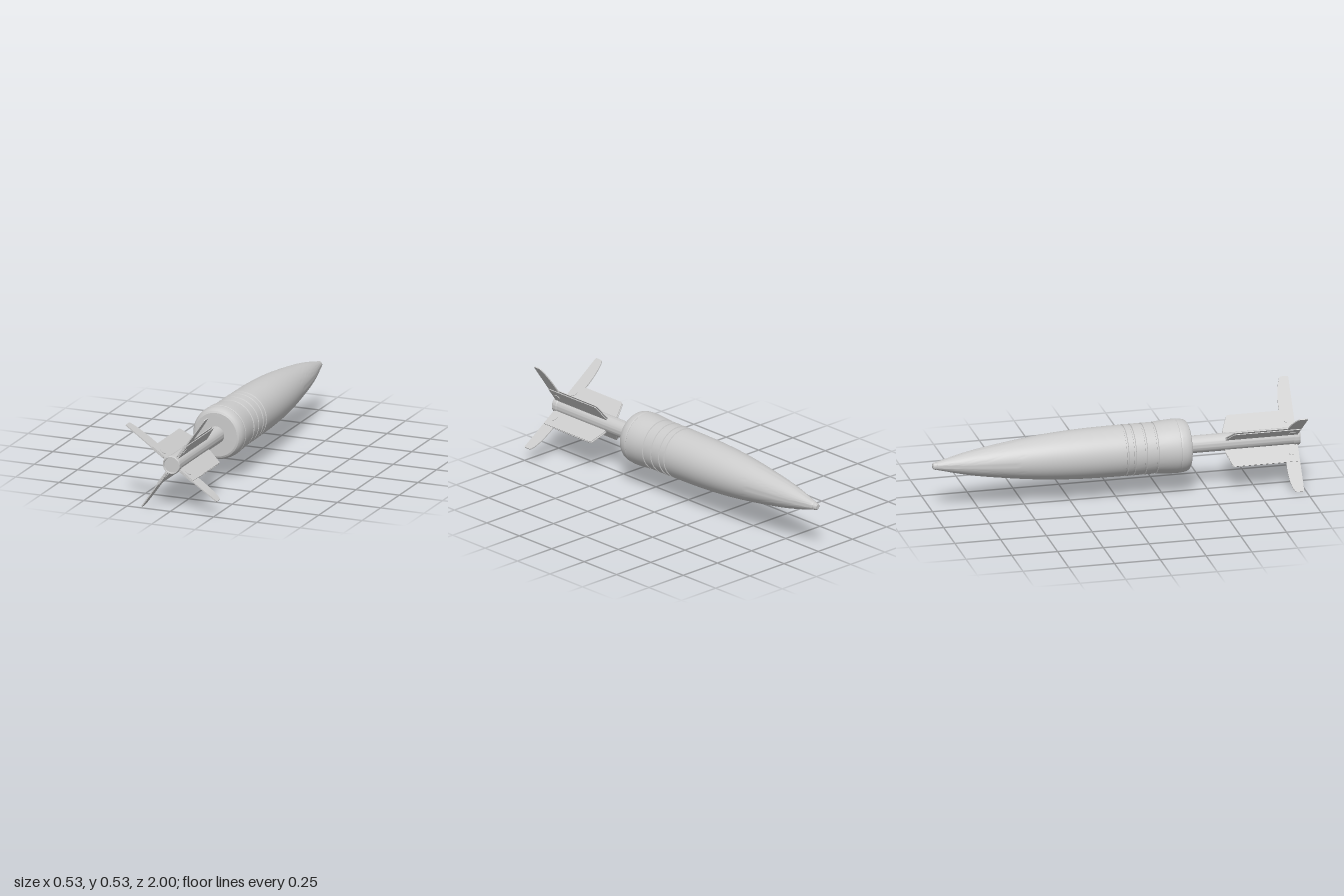
import * as THREE from 'three';
import { toCreasedNormals } from 'three/addons/utils/BufferGeometryUtils.js';

const material = new THREE.MeshStandardMaterial({ color: 0xcccccc });

function addMesh(parent, name, geometry) {
  const mesh = new THREE.Mesh(geometry, material);
  mesh.name = name;
  parent.add(mesh);
  return mesh;
}

// Turned part along z from [radius, z] points, ordered from nose to tail
function turned(points, segments = 64) {
  const profile = points.map(([r, z]) => new THREE.Vector2(r, z));
  return toCreasedNormals(new THREE.LatheGeometry(profile, segments).rotateX(Math.PI / 2), 0.4);
}

// Flat plate drawn in (radius, z), with its thickness centred on the given offset
function plate(shape, thickness, offset = 0) {
  const g = new THREE.ExtrudeGeometry(shape, { depth: thickness, bevelEnabled: false, curveSegments: 12 });
  return g.translate(0, 0, offset - thickness / 2).rotateX(Math.PI / 2);
}

function shellProfile() {
  // Smooth ogive from the nose cap to the cylindrical middle
  const ogive = new THREE.SplineCurve([
    [0.022, -0.975], [0.064, -0.8], [0.096, -0.6], [0.12, -0.4], [0.133, -0.2], [0.137, 0]
  ].map(([r, z]) => new THREE.Vector2(r, z)));
  const points = [[0, -1], [0.011, -1], [0.017, -0.995], [0.02, -0.985], [0.02, -0.978]];
  ogive.getPoints(32).forEach(p => points.push([p.x, p.y]));
  // Shallow grooves around the middle
  for (const z of [0.037, 0.078, 0.139, 0.202]) {
    points.push([0.137, z - 0.006], [0.133, z - 0.004], [0.133, z + 0.004], [0.138, z + 0.006]);
  }
  // Flared base with a rounded rear edge
  points.push([0.142, 0.26], [0.145, 0.31], [0.145, 0.328], [0.143, 0.331], [0.143, 0.336],
    [0.144, 0.339], [0.142, 0.36], [0.138, 0.376], [0.13, 0.388], [0.12, 0.393], [0, 0.395]);
  return points;
}

function fixedPlateShape() {
  const s = new THREE.Shape();
  s.moveTo(0.035, 0.59);
  s.lineTo(0.06, 0.592);
  s.lineTo(0.135, 0.622);
  s.quadraticCurveTo(0.142, 0.626, 0.142, 0.636);
  s.lineTo(0.142, 0.985);
  s.lineTo(0.035, 0.985);
  s.closePath();
  return s;
}

function bladeShape(reach) {
  const s = new THREE.Shape();
  s.moveTo(0.06, 0.915);
  s.lineTo(0.17, 0.912);
  s.bezierCurveTo(0.23, 0.914, 0.28, 0.922, reach - 0.012, 0.936);
  s.quadraticCurveTo(reach, 0.941, reach, 0.952);
  s.lineTo(reach, 0.982);
  s.quadraticCurveTo(reach, 0.988, reach - 0.008, 0.988);
  s.lineTo(0.06, 0.988);
  s.closePath();
  return s;
}

// One fin: a pair of fixed plates holding a long blade on a pivot pin
function makeFin(reach) {
  const fin = new THREE.Group();
  fin.name = 'fin';
  for (const side of [-1, 1]) {
    addMesh(fin, 'fixedPlate', plate(fixedPlateShape(), 0.004, side * 0.005));
  }
  addMesh(fin, 'blade', plate(bladeShape(reach), 0.006));
  addMesh(fin, 'pivotPin', new THREE.CylinderGeometry(0.018, 0.018, 0.02, 24)).position.set(0.088, 0, 0.948);
  return fin;
}

export function createModel() {
  const model = new THREE.Group();
  model.name = 'finnedProjectile';
  const axis = new THREE.Group();
  axis.name = 'axis';
  axis.position.set(0.004, 0.257, 0);
  model.add(axis);

  addMesh(axis, 'shell', turned(shellProfile()));

  // Tail tube with a shallow recess in its end
  addMesh(axis, 'tailTube', turned([
    [0.047, 0.38], [0.047, 0.6], [0.047, 0.965], [0.05, 0.97], [0.05, 0.994],
    [0.047, 1], [0.043, 1], [0.041, 0.992], [0, 0.992]
  ], 48));

  // Four fins, each given by its angle in degrees and blade reach
  for (const [angle, reach] of [[55.1, 0.329], [144.6, 0.327], [235.2, 0.309], [326.1, 0.311]]) {
    const fin = makeFin(reach);
    fin.rotation.z = THREE.MathUtils.degToRad(angle);
    axis.add(fin);
  }
  return model;
}
